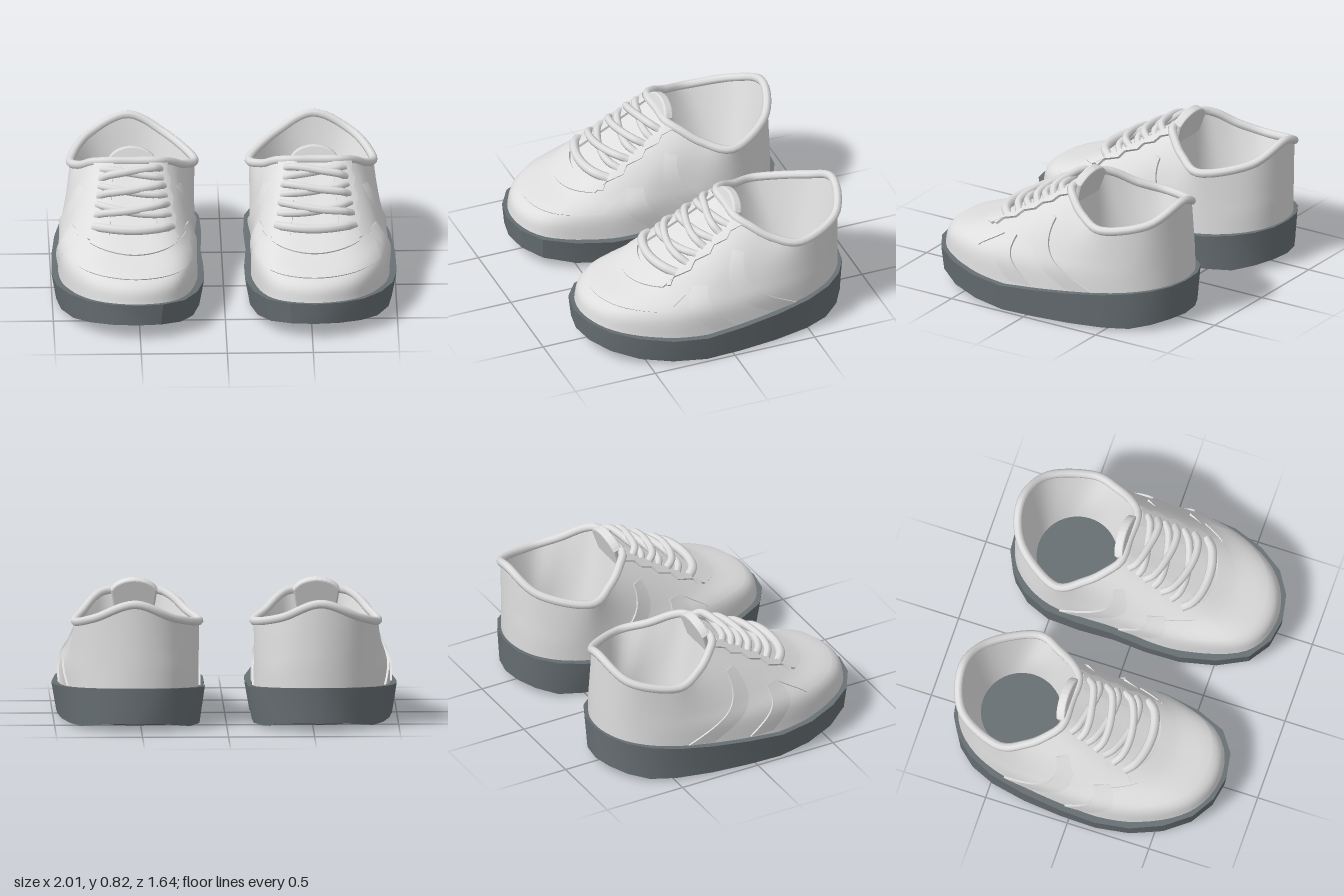
import * as THREE from 'three';
import { toCreasedNormals } from 'three/addons/utils/BufferGeometryUtils.js';

const upperMat = new THREE.MeshStandardMaterial({ name: 'pale grey leather', color: 0xdedede, side: THREE.DoubleSide });
const soleMat = new THREE.MeshStandardMaterial({ name: 'slate rubber', color: 0x687074 });
const V = (x, y, z) => new THREE.Vector3(x, y, z);
const lerp = THREE.MathUtils.lerp;

// Sole heights from short tables of [z, y] pairs.
const soleTop = [[-.83, .26], [-.4, .215], [.15, .16], [.4, .175], [.82, .225]];
const soleBottom = [[-.8, .05], [-.65, .015], [.2, 0], [.55, .04], [.82, .1]];
function heightAt(table, z) {
  const i = Math.max(1, table.findIndex(p => z <= p[0]));
  const [z0, y0] = table[i - 1], [z1, y1] = table[i];
  return lerp(y0, y1, THREE.MathUtils.clamp((z - z0) / (z1 - z0), 0, 1));
}

// Outlines of the foot and the collar: toe, outer side, heel, inner side.
const foot = [[.52, .79], [.78, .68], [.94, .36], [.96, -.05], [.90, -.48], [.76, -.72],
  [.54, -.81], [.31, -.74], [.17, -.5], [.17, -.1], [.16, .3], [.27, .68]]
  .map(([x, z]) => V(x, heightAt(soleTop, z) - .02, z));
const collar = [[.53, .74, -.13], [.68, .74, -.13], [.76, .71, -.19], [.83, .645, -.3], [.88, .605, -.47], [.77, .66, -.72],
  [.54, .75, -.80], [.32, .66, -.72], [.16, .605, -.47], [.23, .645, -.3], [.31, .71, -.19], [.39, .74, -.13]]
  .map(p => V(...p));

// Rings of the upper: [inward blend, rise at the toe, rise elsewhere]
const rings = [[0, 0, 0], [.06, .23, .3], [.35, .39, .53], [.69, .69, .79], [1, 1, 1]].map(([k, toeRise, rise]) =>
  new THREE.CatmullRomCurve3(foot.map((p, i) => {
    const toe = Math.max(0, Math.cos(i * Math.PI / 6)) ** 2;
    const q = p.clone().lerp(collar[i], k);
    q.y = lerp(p.y, collar[i].y, lerp(rise, toeRise, toe));
    return q;
  }), true, 'catmullrom', .5));

// Point on the upper: u runs around the shoe from the toe, v from sole to collar.
function surface(u, v) {
  u -= Math.floor(u);
  const column = new THREE.CatmullRomCurve3(rings.map(r => r.getPoint(u)), false, 'catmullrom', .5);
  return column.getPoint(THREE.MathUtils.clamp(v, 0, 1));
}
function lifted(u, v, h) {
  const e = .004;
  const du = surface(u + e, v).sub(surface(u - e, v));
  const dv = surface(u, v + e).sub(surface(u, v - e));
  return surface(u, v).addScaledVector(du.cross(dv).normalize(), h);
}

// Grid of points f(i, j); closed wraps in i.
function grid(ni, nj, f, closed) {
  const pos = [], idx = [], w = closed ? ni : ni + 1;
  for (let j = 0; j <= nj; j++) for (let i = 0; i < w; i++) pos.push(...f(i, j).toArray());
  for (let j = 0; j < nj; j++) for (let i = 0; i < ni; i++) {
    const a = j * w + i, b = j * w + (i + 1) % w;
    idx.push(a, b, b + w, a, b + w, a + w);
  }
  const g = new THREE.BufferGeometry();
  g.setAttribute('position', new THREE.Float32BufferAttribute(pos, 3));
  g.setIndex(idx);
  g.computeVertexNormals();
  return g;
}

// Raised panel on the upper, with a small wall round its border.
function panel(ns, nt, uv, lift) {
  const clamp = x => THREE.MathUtils.clamp(x, 0, 1);
  return toCreasedNormals(grid(ns + 2, nt + 2, (i, j) => {
    const edge = i === 0 || j === 0 || i === ns + 2 || j === nt + 2;
    const s = clamp((i - 1) / ns), t = clamp((j - 1) / nt);
    const [u, v] = uv(s, t);
    return lifted(u, v, edge ? -.004 : lift(s));
  }), .7);
}

function soleGeometry() {
  // [x scale, z scale, heights] from the bottom centre, up the wall, to the top ledge
  const steps = [[0, 0, soleBottom], [.35, .4, soleBottom], [.75, .76, soleBottom], [1.03, 1.015, soleBottom],
    [1.1, 1.03, soleTop], [.9, .92, soleTop]];
  return toCreasedNormals(grid(24, 5, (i, j) => {
    const p = rings[0].getPoint(i / 24), [sx, sz, table] = steps[j];
    const z = THREE.MathUtils.clamp(-.005 + (p.z + .005) * sz, -.83, .82);
    return V(.565 + (p.x - .565) * sx, heightAt(table, Math.min(z, .819)), z);
  }, true), .4);
}

const insolePoint = (u, k) => V(.51 + .24 * k * Math.sin(u * 2 * Math.PI), .23, -.445 + .235 * k * Math.cos(u * 2 * Math.PI));

function laceGeometry(v0, v1, lift, r) {
  const pts = [];
  for (let i = 0; i <= 8; i++) {
    const s = i / 8, arc = Math.max(0, Math.sin(s * Math.PI));
    pts.push(lifted(-.095 + .19 * s, lerp(v0, v1, s), .006 + lift * Math.sqrt(arc)));
  }
  return new THREE.TubeGeometry(new THREE.CatmullRomCurve3(pts), 20, r, 8);
}

function tongueGeometry() {
  const s = new THREE.Shape();
  s.moveTo(-.1, -.15);
  s.lineTo(.1, -.15);
  s.lineTo(.125, .02);
  s.quadraticCurveTo(.09, .075, 0, .08);
  s.quadraticCurveTo(-.09, .075, -.125, .02);
  const g = new THREE.ExtrudeGeometry(s, { depth: .035, bevelSize: .01, bevelThickness: .01, bevelSegments: 2, curveSegments: 6 });
  return g.rotateX(-.3).translate(.53, .725, -.165);
}

// Named parts of one shoe: [name, geometry, material]
function shoeParts() {
  const parts = [
    ['sole', soleGeometry(), soleMat],
    ['upper', grid(72, 28, (i, j) => surface(i / 72, j / 28), true), upperMat],
    ['lining', grid(48, 6, (i, j) => rings[4].getPoint(i / 48).lerp(insolePoint(i / 48, 1), j / 6), true), upperMat],
    ['insole', grid(48, 1, (i, j) => insolePoint(i / 48, 1 - j), true), soleMat],
    ['collarRim', new THREE.TubeGeometry(rings[4], 64, .025, 8, true), upperMat],
    ['tongue', tongueGeometry(), upperMat],
    ['toeCap', panel(24, 8, (s, t) => [(s - .5) * .3, .29 + .21 * t], () => .007), upperMat],
    ['eyestayFront', panel(16, 4, (s, t) => [(s - .5) * .2, .5 + .09 * t - .025 * Math.sin(s * Math.PI)], () => .016), upperMat],
  ];
  // Eyestays with a toothed outer edge
  const stay = (s, t) => {
    const tooth = Math.abs((t * 4) % 1 - .5) * .03;
    return [.055 + s * (.04 + .03 * t + tooth), .52 + .46 * t];
  };
  // Seams: each rises gently and steps down at its rear edge
  const seam = (uTop, vTop, uLow) => (s, t) => [lerp(uLow, uTop, t) - .03 * (1 - s), lerp(.05, vTop, t)];
  const paired = [
    ['eyestay', stay, () => .015, 4, 32],
    ['frontSeam', seam(.175, .53, .245), s => .012 * s, 4, 12],
    ['rearSeam', seam(.2, .8, .318), s => .012 * s, 4, 16],
  ];
  for (const [name, f, lift, ns, nt] of paired) {
    parts.push([name + 'Outer', panel(ns, nt, f, lift), upperMat]);
    const inner = (s, t) => { const [u, v] = f(1 - s, t); return [-u, v]; };
    parts.push([name + 'Inner', panel(ns, nt, inner, s => lift(1 - s)), upperMat]);
  }
  // Laces: one straight bar and three crossings
  parts.push(['laceBar', laceGeometry(.605, .605, .03, .028), upperMat]);
  [.7, .81, .915].forEach((v, i) => {
    parts.push([`laceUnder${i + 1}`, laceGeometry(v - .03, v + .03, .022, .023), upperMat]);
    parts.push([`laceOver${i + 1}`, laceGeometry(v + .03, v - .03, .045, .023), upperMat]);
  });
  return parts;
}

// Mirrored copy across x, with the corner order reversed.
function mirrored(geometry) {
  const g = geometry.clone().scale(-1, 1, 1);
  const n = g.index ? g.index.count : g.attributes.position.count;
  const idx = Array.from({ length: n }, (_, i) => (g.index ? g.index.getX(i) : i));
  for (let i = 0; i < n; i += 3) [idx[i + 1], idx[i + 2]] = [idx[i + 2], idx[i + 1]];
  g.clearGroups();
  g.setIndex(idx);
  return g;
}

export function createModel() {
  const model = new THREE.Group();
  model.name = 'pairOfShoes';
  const left = new THREE.Group(), right = new THREE.Group();
  left.name = 'leftShoe';
  right.name = 'rightShoe';
  for (const [name, geometry, material] of shoeParts()) {
    for (const [group, g] of [[left, geometry], [right, mirrored(geometry)]]) {
      const mesh = new THREE.Mesh(g, material);
      mesh.name = name;
      group.add(mesh);
    }
  }
  model.add(left, right);
  return model;
}
